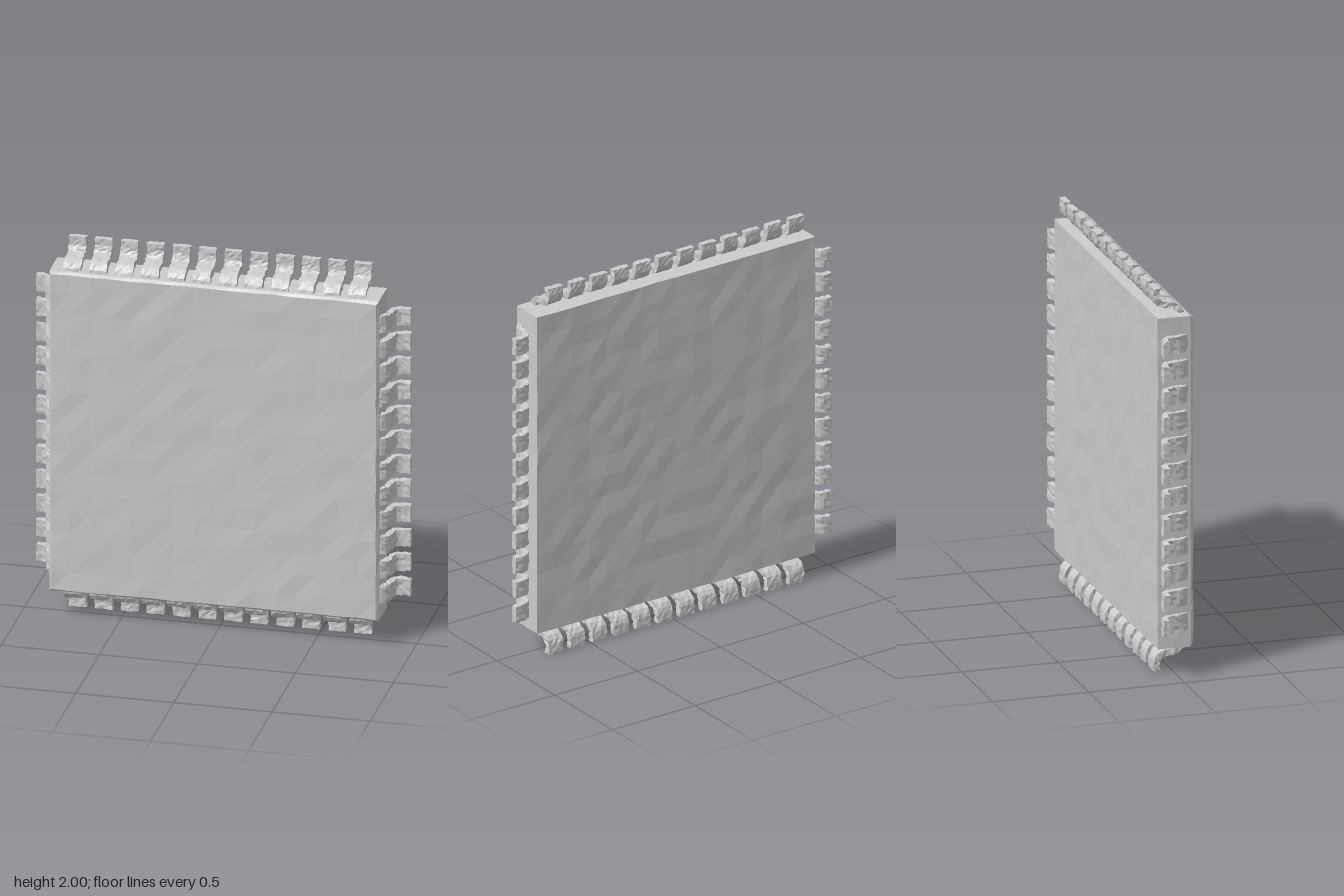
import * as THREE from 'three';

const material = new THREE.MeshStandardMaterial({
  color: 0xcccccc, flatShading: true, side: THREE.DoubleSide,
});

// Repeatable value in -1..1 for a point, so coincident corners move together
function jitter(x, y, z, seed) {
  const s = Math.sin(Math.round(x * 1000) * 12.9898 + Math.round(y * 1000) * 78.233
    + Math.round(z * 1000) * 37.719 + seed * 4.137) * 43758.5453;
  return (s - Math.floor(s)) * 2 - 1;
}

// Move every vertex of a geometry by a rule
function reshape(geometry, rule) {
  const p = geometry.attributes.position;
  const v = new THREE.Vector3();
  for (let i = 0; i < p.count; i++) {
    rule(v.fromBufferAttribute(p, i));
    p.setXYZ(i, v.x, v.y, v.z);
  }
  geometry.computeVertexNormals();
  return geometry;
}

// Slightly uneven square slab with a softened front edge
function makeBody() {
  const w = 1.68, h = 1.725, d = 0.19;
  const levels = [-0.095, -0.03, 0.03, 0.078, 0.093];
  const geometry = reshape(new THREE.BoxGeometry(w, h, d, 16, 16, 4), (v) => {
    const { x, y, z } = v;
    const level = Math.round((z / d + 0.5) * 4);
    const edgeX = Math.abs(x) > w / 2 - 0.001;
    const edgeY = Math.abs(y) > h / 2 - 0.001;
    v.z = levels[level];
    if (level === 4) {
      if (edgeX) v.x -= Math.sign(x) * 0.012;
      if (edgeY) v.y -= Math.sign(y) * 0.012;
    }
    if (edgeX) v.x += jitter(x, y, z, 1) * 0.002;
    if (edgeY) v.y += jitter(x, y, z, 2) * 0.002;
    v.z += jitter(x, y, z, 3) * 0.003;
  });
  const body = new THREE.Mesh(geometry, material);
  body.name = 'body';
  body.position.set(-0.015, 1.0025, 0);
  return body;
}

// Side profile of a bent pin: y runs outward to the tip at 0
const pinPath = new THREE.CatmullRomCurve3([
  [-0.16, 0.052], [-0.122, 0.044], [-0.1, 0.018], [-0.092, -0.03],
  [-0.08, -0.063], [-0.05, -0.077], [0, -0.078],
].map(([y, z]) => new THREE.Vector3(0, y, z)));

// Rough flat strip swept along the pin path
function makePin(seed, reach) {
  const geometry = reshape(new THREE.BoxGeometry(0.088, 0.032, 1, 5, 2, 14), (v) => {
    const { x, y, z } = v;
    const t = THREE.MathUtils.clamp(z + 0.5, 0, 1);
    const at = pinPath.getPointAt(t);
    const dir = pinPath.getTangentAt(t);
    v.set(
      x + jitter(x, y, z, seed) * 0.004,
      (at.y + dir.z * y) * reach + jitter(x, y, z, seed + 50) * 0.003,
      at.z - dir.y * y + jitter(x, y, z, seed + 100) * 0.003,
    );
    v.y = Math.min(v.y, 0);
  });
  const pin = new THREE.Mesh(geometry, material);
  pin.name = 'pin';
  return pin;
}

export function createModel() {
  const model = new THREE.Group();
  model.name = 'chip';
  model.add(makeBody());

  // Four rows of twelve pins, each row turned to point outward
  const rows = [
    { name: 'topPins', angle: 0, reach: 1, place: (s) => [-0.745 + s, 2, 0] },
    { name: 'bottomPins', angle: Math.PI, reach: 1, place: (s) => [-0.745 + s, 0.003, 0] },
    { name: 'leftPins', angle: -Math.PI / 2, reach: 1, place: (s) => [0.953, 0.275 + s, 0] },
    { name: 'rightPins', angle: Math.PI / 2, reach: 0.85, place: (s) => [-0.957, 0.275 + s, 0] },
  ];
  rows.forEach(({ name, angle, reach, place }, r) => {
    const row = new THREE.Group();
    row.name = name;
    for (let i = 0; i < 12; i++) {
      const pin = makePin(r * 12 + i, reach);
      pin.rotation.z = angle;
      pin.position.set(...place(i * 0.1323));
      row.add(pin);
    }
    model.add(row);
  });
  return model;
}
